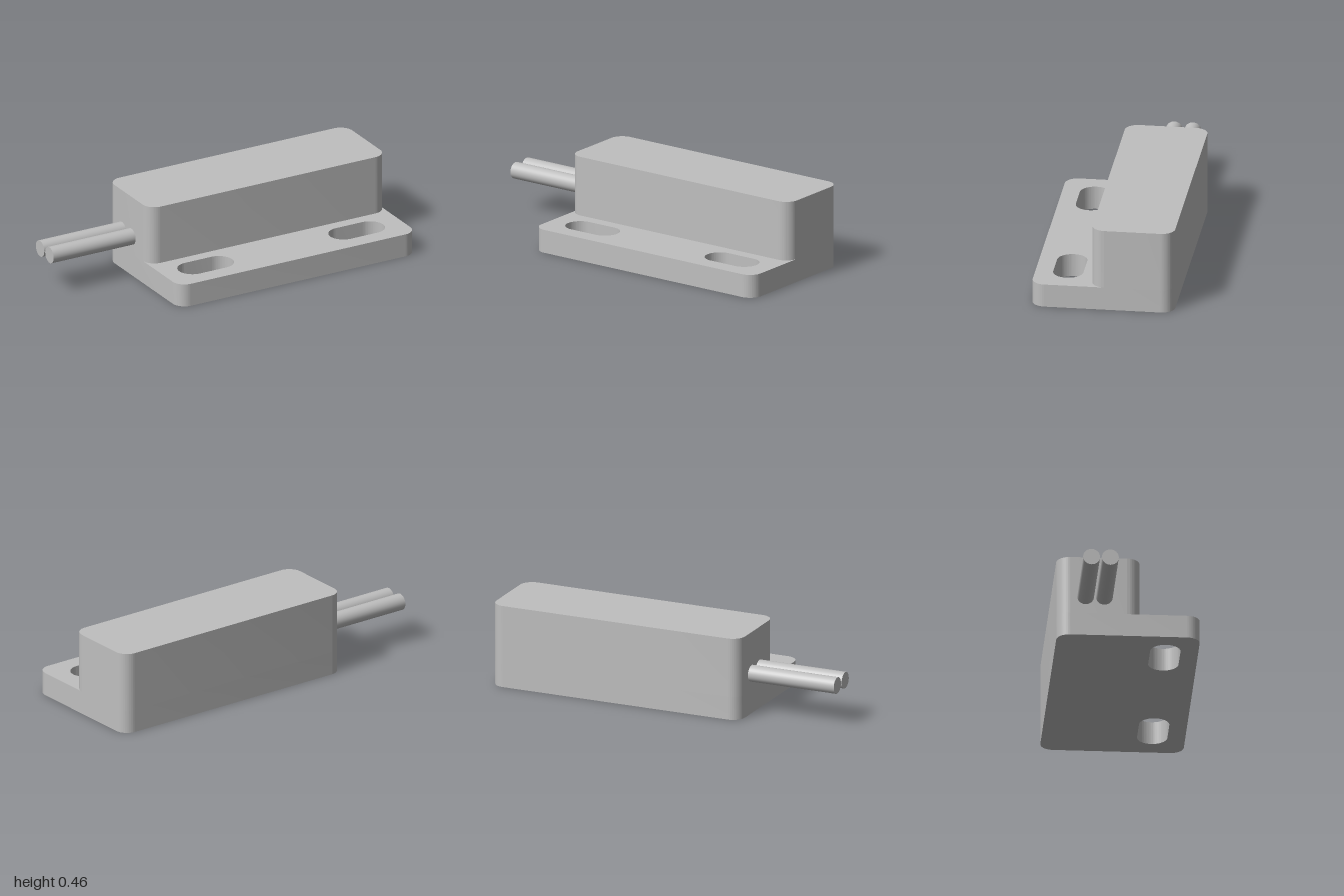
import * as THREE from 'three';
import { toCreasedNormals } from 'three/addons/utils/BufferGeometryUtils.js';

const X0 = -0.487, X1 = 1, BACK = -0.39;

// Traces a rounded rectangle on the ground plan (plan y is -z)
function roundedRect(path, x0, x1, z0, z1, r) {
  const b = -z1, t = -z0;
  path.moveTo(x0 + r, b);
  path.absarc(x1 - r, b + r, r, -Math.PI / 2, 0);
  path.absarc(x1 - r, t - r, r, 0, Math.PI / 2);
  path.absarc(x0 + r, t - r, r, Math.PI / 2, Math.PI);
  path.absarc(x0 + r, b + r, r, Math.PI, Math.PI * 1.5);
  path.closePath();
  return path;
}

// Raises a plan shape from y0 to y1
function raise(shape, y0, y1) {
  const geo = new THREE.ExtrudeGeometry(shape, { depth: y1 - y0, bevelEnabled: false, curveSegments: 16 });
  geo.rotateX(-Math.PI / 2);
  geo.translate(0, y0, 0);
  return toCreasedNormals(geo, 0.6);
}

export function createModel() {
  const model = new THREE.Group();
  const grey = new THREE.MeshStandardMaterial({ color: 0xbfbfbf });
  grey.name = 'light grey';

  const add = (name, geo) => {
    const mesh = new THREE.Mesh(geo, grey);
    mesh.name = name;
    model.add(mesh);
    return mesh;
  };

  // Mounting flange with two slotted holes
  const plan = roundedRect(new THREE.Shape(), X0, X1, BACK, 0.39, 0.073);
  for (const x of [-0.22, 0.725]) {
    plan.holes.push(roundedRect(new THREE.Path(), x - 0.165, x + 0.165, 0.128, 0.293, 0.0824));
  }
  add('mountingFlange', raise(plan, 0, 0.13));

  // Raised housing block along the back
  add('housing', raise(roundedRect(new THREE.Shape(), X0, X1, BACK, 0.062, 0.073), 0.13, 0.463));

  // Pair of wires leaving the end of the housing
  const length = 0.533;
  [-0.235, -0.133].forEach((z, i) => {
    const wire = add(i ? 'frontWire' : 'backWire', new THREE.CylinderGeometry(0.046, 0.046, length, 32));
    wire.rotation.z = Math.PI / 2;
    wire.position.set(-1 + length / 2, 0.229, z);
  });

  return model;
}
